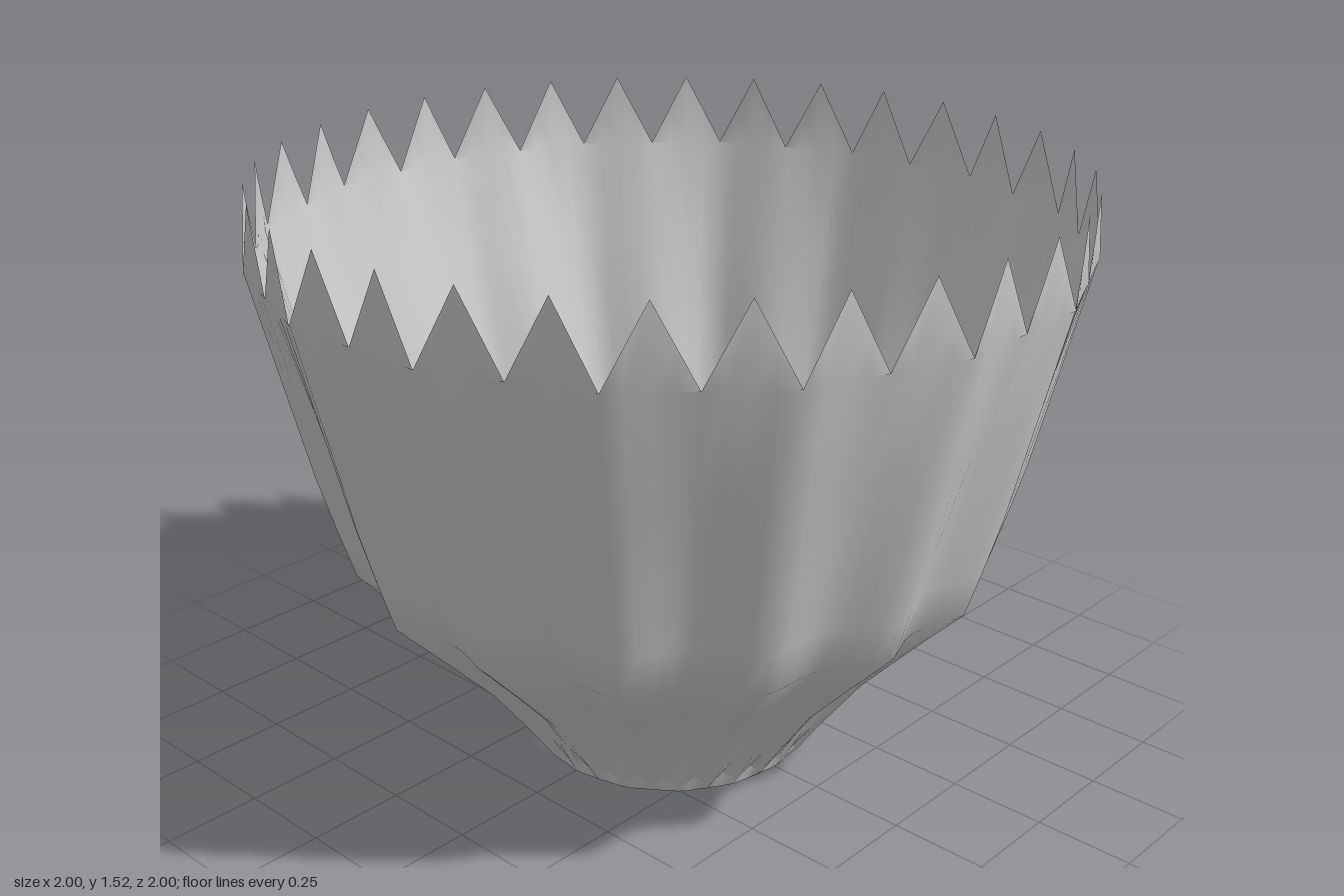
import * as THREE from 'three';

const SIDES = 16, PER_SIDE = 8, COLS = SIDES * PER_SIDE; // two rim teeth on each side
const START = 0.02 - Math.PI / SIDES; // corner left of the front side

// Height, polygon radius, depth of the folds, height of the teeth
const FOOT = [[0, 0.364, -0.005, 0], [0.02, 0.38, -0.002, 0.03]];
const WALL = [
  FOOT[1], [0.12, 0.442, 0.006, 0], [0.26, 0.54, 0.012, 0], [0.4, 0.668, 0.016, 0],
  [0.53, 0.79, 0.02, 0], [0.65, 0.828, 0.019, 0], [0.8, 0.872, 0.018, 0], [1.06, 0.942, 0.009, 0],
  [1.33, 1.014, 0, 0], [1.33, 1.016, 0, 0.19],
];

// Point on a unit polygon, evenly spaced along each side
function polygonPoint(i) {
  const side = Math.floor(i / PER_SIDE), t = (i % PER_SIDE) / PER_SIDE;
  const a = START + side * 2 * Math.PI / SIDES, b = a + 2 * Math.PI / SIDES;
  return [THREE.MathUtils.lerp(Math.sin(a), Math.sin(b), t), THREE.MathUtils.lerp(Math.cos(a), Math.cos(b), t)];
}

// Skin over closed pleated rings: folds rise at the corners, teeth stand between corners and side centres
function pleatedSkin(name, profile, material) {
  const positions = [], index = [];
  profile.forEach(([height, radius, fold, teeth], r) => {
    for (let i = 0; i < COLS; i++) {
      const [x, z] = polygonPoint(i);
      const R = radius + fold * Math.cos(2 * Math.PI * i / PER_SIDE);
      const tooth = 1 - Math.abs((i % 4) - 2) / 2;
      positions.push(x * R, height + teeth * tooth, z * R);
      if (r === profile.length - 1) continue;
      const n = (i + 1) % COLS, a = r * COLS + i, b = r * COLS + n;
      index.push(a, b, b + COLS, a, b + COLS, a + COLS);
    }
  });
  const geometry = new THREE.BufferGeometry();
  geometry.setAttribute('position', new THREE.Float32BufferAttribute(positions, 3));
  geometry.setIndex(index);
  geometry.computeVertexNormals();
  const mesh = new THREE.Mesh(geometry, material);
  mesh.name = name;
  return mesh;
}

export function createModel() {
  const group = new THREE.Group();
  group.name = 'pleatedPaperCup';
  const material = new THREE.MeshStandardMaterial({ color: 0xcccccc, side: THREE.DoubleSide });

  // Plain ring around the open foot, with a scalloped upper edge
  group.add(pleatedSkin('footRing', FOOT, material));

  // Folded wall, ending in a zigzag rim
  group.add(pleatedSkin('pleatedWall', WALL, material));

  return group;
}
